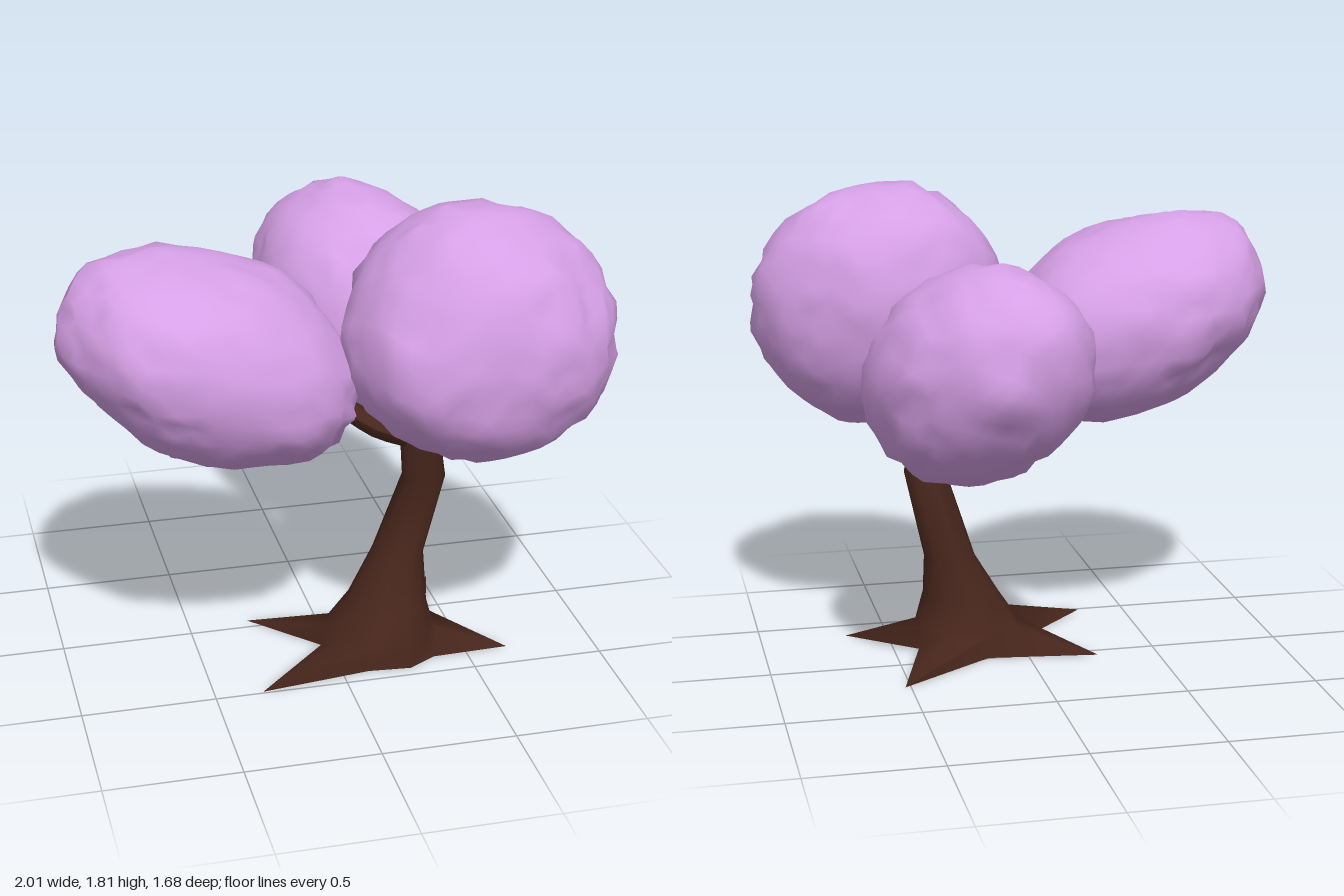
import * as THREE from 'three';
import { mergeVertices, toCreasedNormals } from 'three/addons/utils/BufferGeometryUtils.js';

const bark = new THREE.MeshStandardMaterial({ color: 0x47261c });
const blossom = new THREE.MeshStandardMaterial({ color: 0xd6a0e6 });

// Repeatable noise in -1..1
function seeded(seed) {
  let s = seed;
  return () => {
    s = (s * 16807) % 2147483647;
    return (s / 2147483647) * 2 - 1;
  };
}

// Skin over rings of points (equal counts, running from bottom to top), with end caps
function loft(rings) {
  const n = rings[0].length;
  const pos = [], idx = [];
  rings.forEach((r) => r.forEach((p) => pos.push(...p)));
  for (let j = 0; j < rings.length - 1; j++) {
    for (let i = 0; i < n; i++) {
      const a = j * n + i, b = j * n + (i + 1) % n;
      idx.push(a, a + n, b, b, a + n, b + n);
    }
  }
  [0, rings.length - 1].forEach((j) => {
    const centre = pos.length / 3;
    for (let k = 0; k < 3; k++) pos.push(rings[j].reduce((s, p) => s + p[k], 0) / n);
    for (let i = 0; i < n; i++) {
      const a = j * n + i, b = j * n + (i + 1) % n;
      idx.push(centre, ...(j === 0 ? [a, b] : [b, a]));
    }
  });
  const geo = new THREE.BufferGeometry();
  geo.setAttribute('position', new THREE.Float32BufferAttribute(pos, 3));
  geo.setIndex(idx);
  return toCreasedNormals(geo, 1.3);
}

function trunk() {
  // Root tips and the hollows between them: angle in degrees, reach
  const foot = [
    [19, 0.49], [45, 0.24], [75, 0.24], [115, 0.24], [152.5, 0.586],
    [184, 0.23], [210, 0.54], [258, 0.22], [305, 0.56], [345, 0.21],
  ];
  // Cross-sections: y, centre x, centre z, radius x, radius z
  const sections = [
    [0.085, 0.2, 0.225, 0.205, 0.22],
    [0.2, 0.222, 0.235, 0.15, 0.165],
    [0.37, 0.275, 0.185, 0.1, 0.097],
    [0.7, 0.36, 0.23, 0.082, 0.082],
    [0.92, 0.325, 0.28, 0.074, 0.068],
    [1.0, 0.33, 0.3, 0.05, 0.05],
  ];
  const around = (fn) => foot.map(([deg, reach]) => {
    const a = THREE.MathUtils.degToRad(deg);
    return fn(Math.cos(a), Math.sin(a), reach);
  });
  const rings = [around((c, s, r) => [0.2 + c * r, 0, 0.22 + s * r])];
  for (const [y, x, z, rx, rz] of sections) {
    rings.push(around((c, s) => [x + c * rx, y, z + s * rz]));
  }
  return new THREE.Mesh(loft(rings), bark);
}

// Tapering limb along a curve
function limb(points, r0, r1) {
  const curve = new THREE.CatmullRomCurve3(points.map((p) => new THREE.Vector3(...p)));
  const steps = 8, sides = 7;
  const geo = new THREE.TubeGeometry(curve, steps, 1, sides);
  const pos = geo.attributes.position, v = new THREE.Vector3();
  for (let i = 0; i < pos.count; i++) {
    const t = Math.floor(i / (sides + 1)) / steps;
    const c = curve.getPointAt(t);
    v.fromBufferAttribute(pos, i).sub(c).multiplyScalar(r0 + (r1 - r0) * t).add(c);
    pos.setXYZ(i, v.x, v.y, v.z);
  }
  geo.computeVertexNormals();
  return new THREE.Mesh(geo, bark);
}

// Lumpy, jagged ellipsoid of blossom; bulges are [direction x, y, z, amount]
function canopy(centre, radii, rotation, seed, bulges) {
  let geo = new THREE.IcosahedronGeometry(1, 7);
  geo.deleteAttribute('normal');
  geo.deleteAttribute('uv');
  geo = mergeVertices(geo, 1e-4);
  const rand = seeded(seed);
  const turn = new THREE.Euler(...rotation);
  const size = new THREE.Vector3(...radii);
  const swells = bulges.map(([x, y, z, amount]) => ({ dir: new THREE.Vector3(x, y, z).normalize(), amount }));
  const pos = geo.attributes.position, v = new THREE.Vector3(), d = new THREE.Vector3();
  for (let i = 0; i < pos.count; i++) {
    v.fromBufferAttribute(pos, i);
    const lump = 0.015 * Math.sin(5 * v.x + seed) * Math.sin(4 * v.y + 2 * seed)
      + 0.012 * Math.sin(7 * v.z + 3 * v.x + seed);
    // Ragged leaf edges in some patches, smoother ones between
    const rough = 0.012 + 0.03 * Math.sin(3 * v.x + 2 * v.z + seed) ** 2;
    let scale = 0.995 + lump + rough * rand();
    v.multiply(size).applyEuler(turn);
    d.copy(v).normalize();
    for (const s of swells) scale += s.amount * Math.max(0, d.dot(s.dir)) ** 8;
    v.multiplyScalar(scale);
    pos.setXYZ(i, v.x, v.y, v.z);
  }
  geo.computeVertexNormals();
  const mesh = new THREE.Mesh(geo, blossom);
  mesh.position.set(...centre);
  return mesh;
}

export function createModel() {
  const tree = new THREE.Group();
  tree.name = 'tree';
  const add = (name, mesh) => {
    mesh.name = name;
    tree.add(mesh);
  };

  add('trunkWithRoots', trunk());

  // One limb into each canopy, and a twig between two of them
  add('frontLimb', limb([[0.32, 0.88, 0.27], [0.37, 0.95, 0.33], [0.48, 1.06, 0.41]], 0.065, 0.03));
  add('sideLimb', limb([[0.31, 0.88, 0.27], [0.17, 0.925, 0.25], [0.08, 0.98, 0.22], [-0.05, 1.06, 0.22]], 0.05, 0.035));
  add('backLimb', limb([[0.33, 0.86, 0.26], [0.28, 0.97, 0.19], [0.19, 1.02, 0.06], [0.22, 1.06, -0.2]], 0.06, 0.03));
  add('twig', limb([[0.4, 1.05, 0.35], [0.21, 1.18, 0.1], [0.2, 1.25, -0.1]], 0.025, 0.012));

  // Three blossom masses
  add('frontCanopy', canopy([0.5, 1.34, 0.42], [0.49, 0.465, 0.41], [-0.4, -0.05, 0], 11, [
    [-0.8, -0.2, 0.5, 0.06], [0.2, -0.75, -0.6, 0.07], [-0.5, 0.8, 0, 0.04], [0, 0.7, 0.7, 0.04], [0.7, -0.7, 0, 0.03],
  ]));
  add('sideCanopy', canopy([-0.47, 1.28, 0.275], [0.555, 0.36, 0.45], [0, 0, -0.44], 23, [
    [0.75, 0.1, -0.65, 0.1], [0.75, -0.2, 0.6, 0.07], [0.75, 0.6, 0, 0.05], [0.5, -0.85, 0, 0.03],
  ]));
  add('backCanopy', canopy([0.27, 1.21, -0.39], [0.38, 0.37, 0.495], [0.64, 0.36, 0], 37, [
    [-0.1, -0.6, 0.8, 0.05], [0.8, 0, 0.6, 0.05], [0, 0.9, 0.45, 0.05], [-0.8, 0.2, -0.5, 0.05],
  ]));

  return tree;
}
